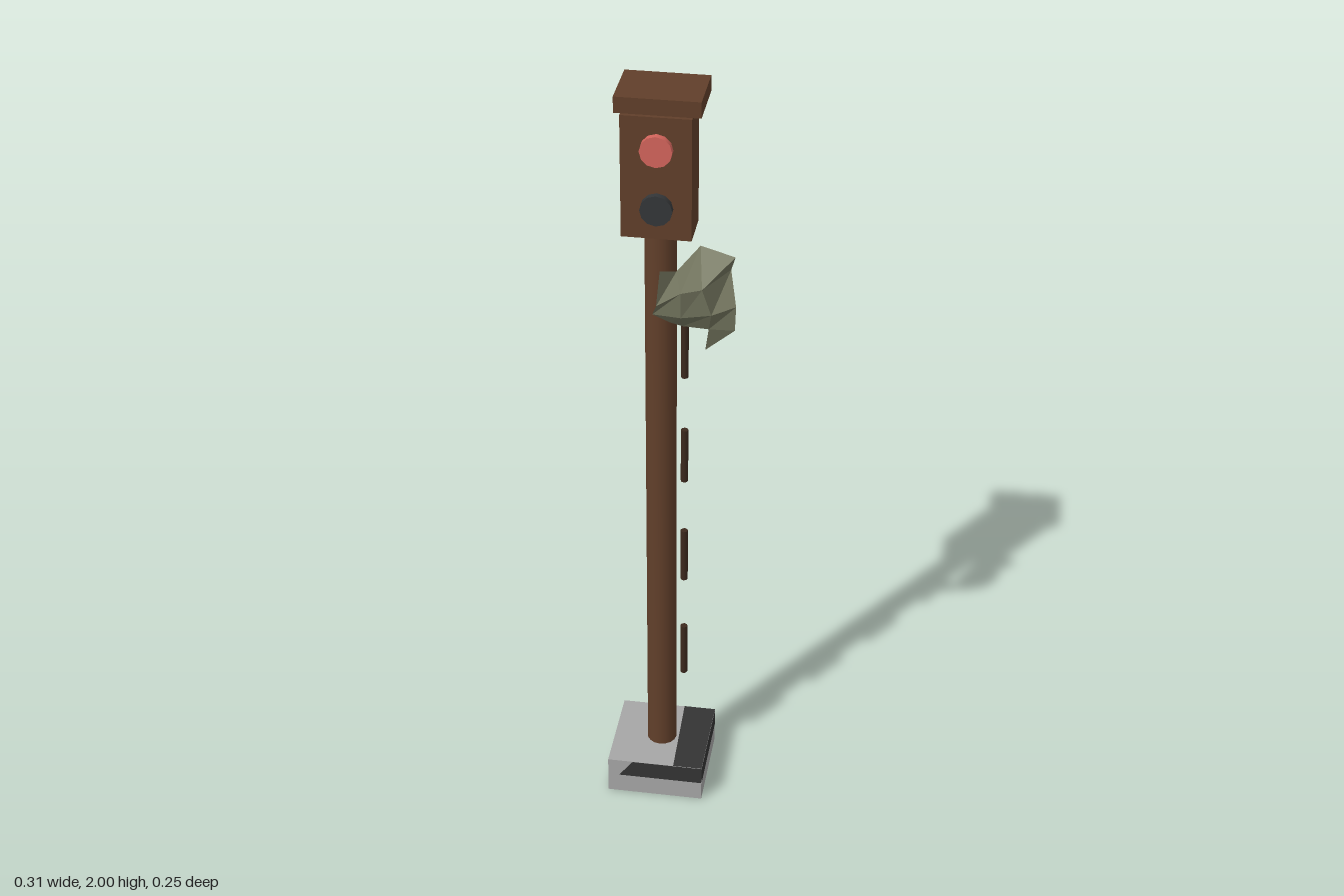
import * as THREE from 'three';

const mat = (name, color, extra = {}) => {
  const m = new THREE.MeshStandardMaterial({ color, ...extra });
  m.name = name;
  return m;
};

export function createModel() {
  const brown = mat('rusty brown', 0x613f2a);
  const darkBrown = mat('dark brown', 0x3c291d);
  const grey = mat('concrete grey', 0xa6a6a6);
  const black = mat('charcoal', 0x343434);
  const red = mat('signal red', 0xd4655c);
  const lens = mat('dark lens', 0x343638);
  const cloth = mat('faded green', 0x74765f, { side: THREE.DoubleSide, flatShading: true });

  const model = new THREE.Group();
  const add = (name, geometry, material, x, y, z, parent = model) => {
    const mesh = new THREE.Mesh(geometry, material);
    mesh.name = name;
    mesh.position.set(x, y, z);
    parent.add(mesh);
    return mesh;
  };
  const cx = -0.029, half = 0.1265, H = 0.104;

  // Base block
  const base = new THREE.Group();
  base.name = 'base';
  base.position.set(cx, 0, -0.0015);
  model.add(base);
  add('baseBlock', new THREE.BoxGeometry(half * 2, H, half * 2), grey, 0, H / 2, 0, base);

  // Dark paint on the base, as flat faces just off the block
  const patch = (points) => new THREE.ShapeGeometry(new THREE.Shape(points.map(p => new THREE.Vector2(...p))));
  const off = half + 0.0008;
  for (let i = 0; i < 4; i++) {
    const notch = i % 2 === 0;
    const band = patch([[notch ? -0.097 : -half, 0.055], [half, 0.055], [half, H], [notch ? -0.06 : -half, H]]);
    const side = add('paintedBand', band, black, 0, 0, 0, base);
    side.rotation.y = i * Math.PI / 2;
    side.position.set(Math.sin(side.rotation.y) * off, 0, Math.cos(side.rotation.y) * off);
  }
  const top = patch([[0.05, -half], [half, -half], [half, half], [0.042, half]]);
  add('paintedTop', top, black, 0, H + 0.0008, 0, base).rotation.x = -Math.PI / 2;
  const under = patch([[-half, -half], [0, -half], [0, half], [-half, half]]);
  add('paintedUnderside', under, black, 0, -0.0008, 0, base).rotation.x = Math.PI / 2;

  // Pole and climbing bars
  add('pole', new THREE.CylinderGeometry(0.039, 0.039, 1.66, 16), brown, cx, 0.83, 0);
  for (let i = 0; i < 4; i++) {
    add('sideBar', new THREE.CylinderGeometry(0.0095, 0.0095, 0.152, 8), darkBrown, 0.03, 0.408 + i * 0.305, 0.001);
  }

  // Signal head and cap
  add('signalHead', new THREE.BoxGeometry(0.168, 0.31, 0.109), brown, -0.031, 1.805, -0.001);
  add('cap', new THREE.BoxGeometry(0.204, 0.04, 0.152), brown, -0.029, 1.98, -0.032);

  // Lamps
  for (const [name, y, material] of [['upperLamp', 1.88, red], ['lowerLamp', 1.73, lens]]) {
    const lamp = add(name, new THREE.CylinderGeometry(0.039, 0.039, 0.022, 12), material, -0.029, y, 0.059);
    lamp.rotation.x = Math.PI / 2;
  }

  // Crumpled rag draped across the pole: four rows of four points and a loose tip
  const rows = [
    [[-0.018, 1.58, 0.083], [0.013, 1.552, 0.025], [0.058, 1.58, -0.06], [0.148, 1.577, -0.02]],
    [[-0.02, 1.51, 0.125], [0.03, 1.52, 0.075], [0.078, 1.52, 0.05], [0.13, 1.51, -0.08]],
    [[-0.04, 1.45, 0.06], [0.03, 1.45, 0.068], [0.1, 1.45, 0.045], [0.153, 1.45, -0.005]],
    [[0.0, 1.42, 0.04], [0.025, 1.395, 0.01], [0.09, 1.395, 0.015], [0.151, 1.385, -0.005]],
  ];
  const verts = [...rows.flat(), [0.08, 1.328, 0]];
  const index = [];
  for (let r = 0; r < 3; r++) {
    for (let c = 0; c < 3; c++) {
      const a = r * 4 + c, b = a + 1, d = a + 4, e = a + 5;
      index.push(a, d, b, b, d, e);
    }
  }
  index.push(14, 16, 15);
  const rag = new THREE.BufferGeometry();
  rag.setAttribute('position', new THREE.Float32BufferAttribute(verts.flat(), 3));
  rag.setIndex(index);
  const flat = rag.toNonIndexed();
  flat.computeVertexNormals();
  add('rag', flat, cloth, 0, 0, 0);

  return model;
}
